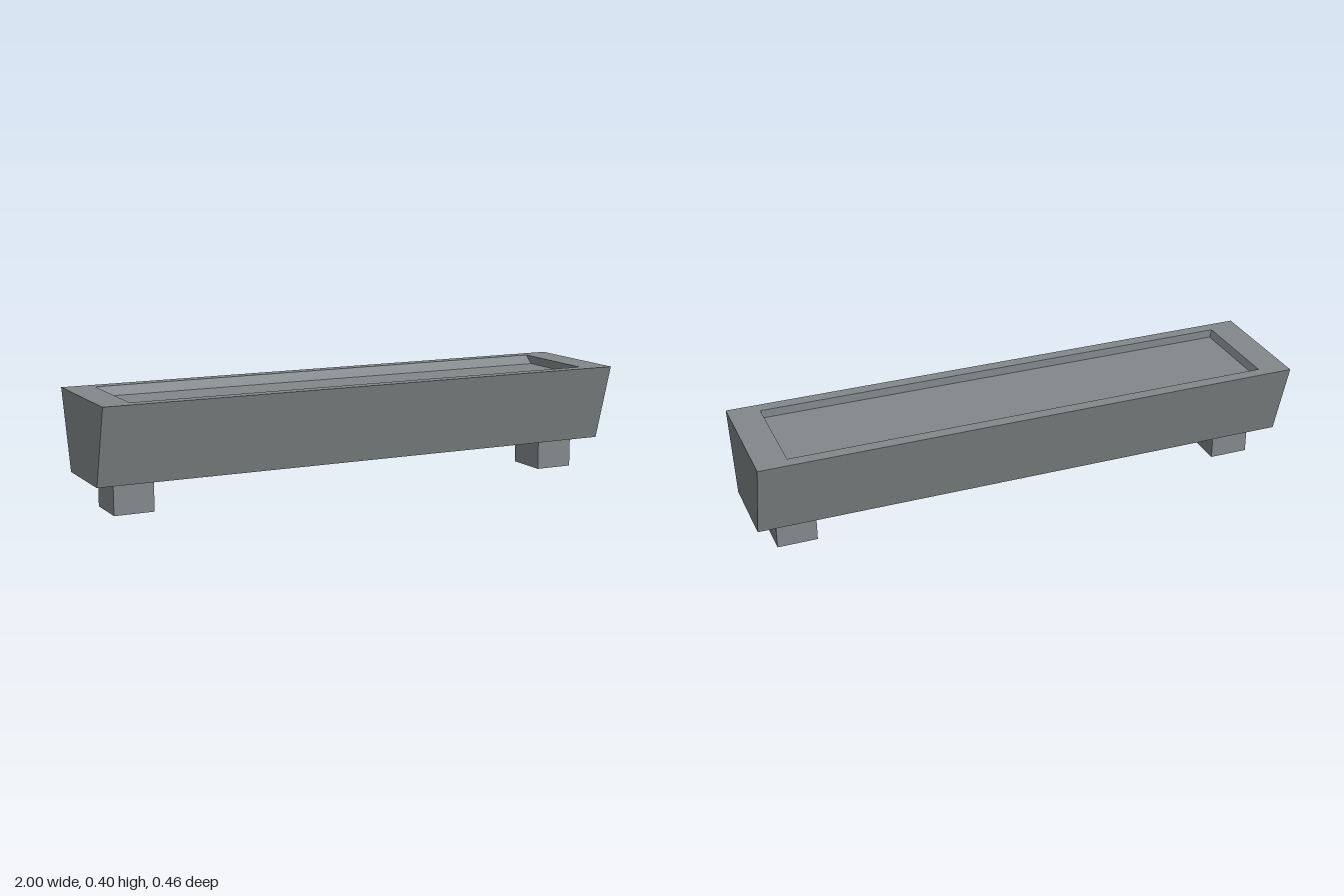
import * as THREE from 'three';

// Corners of a horizontal rectangle, counter-clockwise seen from above
const ring = (y, x0, x1, z0, z1) => [[x0, y, z1], [x1, y, z1], [x1, y, z0], [x0, y, z0]];

// Skin a stack of rings with flat quads, capping the first and the last
function skin(rings) {
  const pos = [];
  const quad = (a, b, c, d) => pos.push(...a, ...b, ...c, ...a, ...c, ...d);
  const first = rings[0], last = rings[rings.length - 1];
  quad(first[3], first[2], first[1], first[0]);
  for (let r = 0; r < rings.length - 1; r++) {
    for (let i = 0; i < 4; i++) {
      const j = (i + 1) % 4;
      quad(rings[r][i], rings[r][j], rings[r + 1][j], rings[r + 1][i]);
    }
  }
  quad(...last);
  const geo = new THREE.BufferGeometry();
  geo.setAttribute('position', new THREE.Float32BufferAttribute(pos, 3));
  geo.computeVertexNormals();
  return geo;
}

export function createModel() {
  const group = new THREE.Group();
  const stone = new THREE.MeshStandardMaterial({ color: 0x82888a });
  stone.name = 'grey stone';

  const baseY = 0.117, topY = 0.402;

  // Flared trough with a rim and a shallow recess, sloped along its back wall
  const trough = new THREE.Mesh(skin([
    ring(baseY, -1, 1, -0.143, 0.143),
    ring(topY, -1, 1, -0.228, 0.228),
    ring(topY, -0.892, 0.888, -0.183, 0.182),
    ring(topY - 0.03, -0.885, 0.888, -0.148, 0.182),
  ]), stone);
  trough.name = 'trough';
  group.add(trough);

  // Block feet
  for (const side of [-1, 1]) {
    const foot = new THREE.Mesh(new THREE.BoxGeometry(0.145, baseY, 0.163), stone);
    foot.position.set(side * 0.851, baseY / 2, 0);
    foot.name = side > 0 ? 'leftFoot' : 'rightFoot';
    group.add(foot);
  }
  return group;
}
